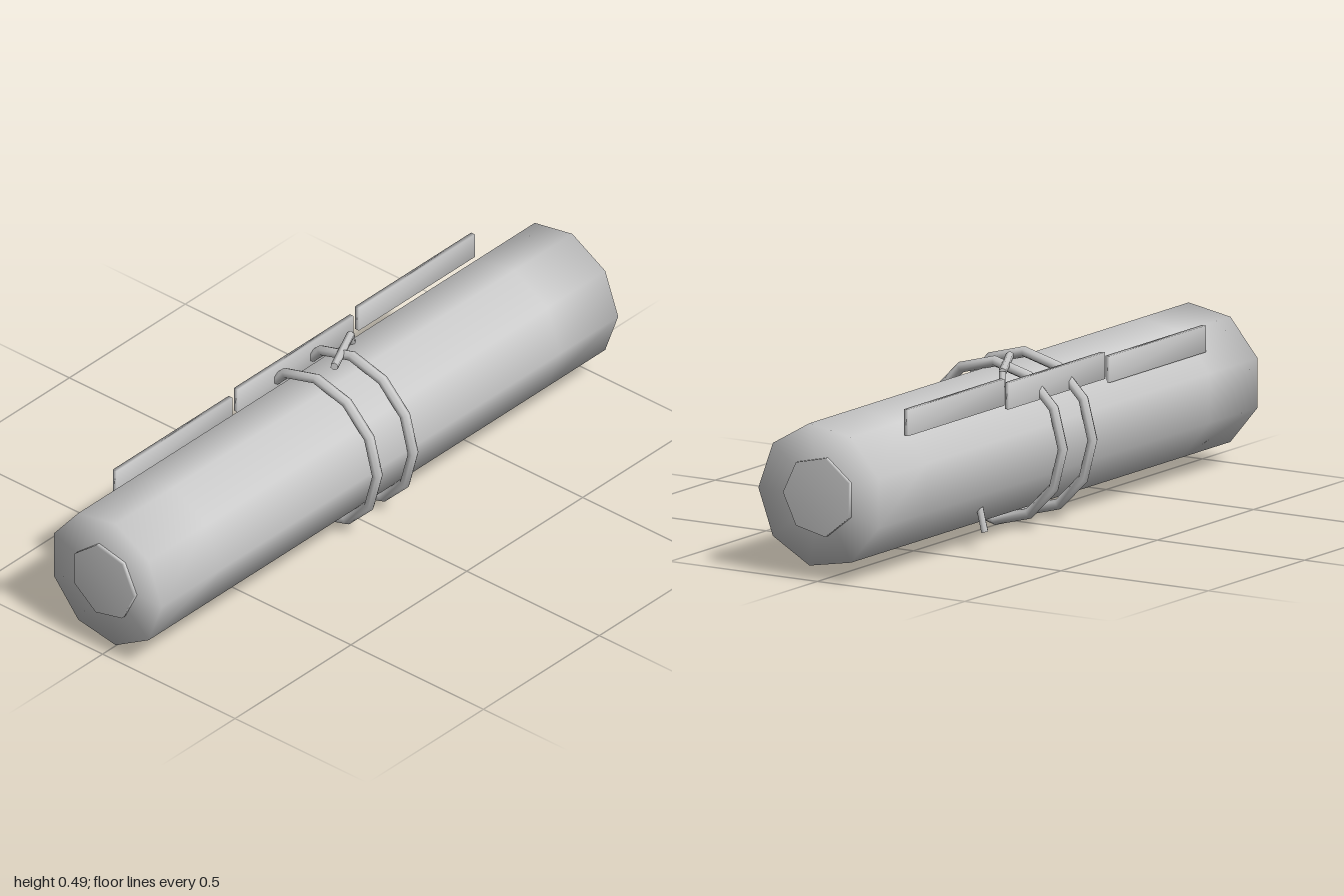
import * as THREE from 'three';
import { mergeVertices } from 'three/addons/utils/BufferGeometryUtils.js';

const CENTER_Y = 0.247;

export function createModel() {
  const group = new THREE.Group();
  const paper = new THREE.MeshStandardMaterial({ color: 0xcccccc });
  paper.name = 'plain grey';

  const add = (name, geometry, x = 0, y = 0, z = 0) => {
    const mesh = new THREE.Mesh(geometry, paper);
    mesh.name = name;
    mesh.position.set(x, y, z);
    group.add(mesh);
    return mesh;
  };

  // Closed faceted roll along x, with normals softened over the end rims
  const roll = (radius, half, sides, inset) => {
    const profile = [[0, -half], [radius, -half], [radius, -half + inset],
      [radius, half - inset], [radius, half], [0, half]];
    const points = profile.map(([r, h]) => new THREE.Vector2(r, h));
    return new THREE.LatheGeometry(points, sides).rotateZ(-Math.PI / 2);
  };

  // Round cord made of straight pieces, with closed ends
  const cord = (name, radius, points) => {
    const up = new THREE.Vector3(0, 1, 0);
    for (let i = 1; i < points.length; i++) {
      const a = new THREE.Vector3(...points[i - 1]);
      const b = new THREE.Vector3(...points[i]);
      const dir = b.clone().sub(a);
      const mesh = add(name, new THREE.CylinderGeometry(radius, radius, dir.length(), 6));
      mesh.position.copy(a).add(b).multiplyScalar(0.5);
      mesh.quaternion.setFromUnitVectors(up, dir.normalize());
    }
  };

  // Rolled sheet and the core showing at both ends
  add('rolledSheet', roll(0.21, 0.985, 9, 0.25), 0, CENTER_Y, 0);
  add('core', roll(0.117, 1, 7, 0.01), 0, CENTER_Y, 0);

  // Two loops of cord around the middle
  for (const x of [-0.077, 0.077]) {
    const loop = new THREE.TorusGeometry(0.23, 0.016, 6, 12).rotateY(Math.PI / 2);
    add('cordLoop', loop, x, CENTER_Y, 0);
  }

  // Loose cord ends
  cord('upperCordEnd', 0.012, [[0, 0.48, 0], [0.165, 0.47, -0.083], [0.18, 0.43, -0.092]]);
  cord('lowerCordEnd', 0.011, [[0.38, 0.13, -0.144], [0.38, 0.053, -0.163]]);

  // Three edge strips standing along the back, each a little higher than the last
  for (let i = -1; i <= 1; i++) {
    let strip = new THREE.BoxGeometry(0.5, 0.077, 0.014);
    strip.deleteAttribute('normal');
    strip.deleteAttribute('uv');
    strip = mergeVertices(strip);
    strip.computeVertexNormals();
    add('edgeStrip', strip, i * 0.523, 0.424 + i * 0.0155, -0.153);
  }

  return group;
}
